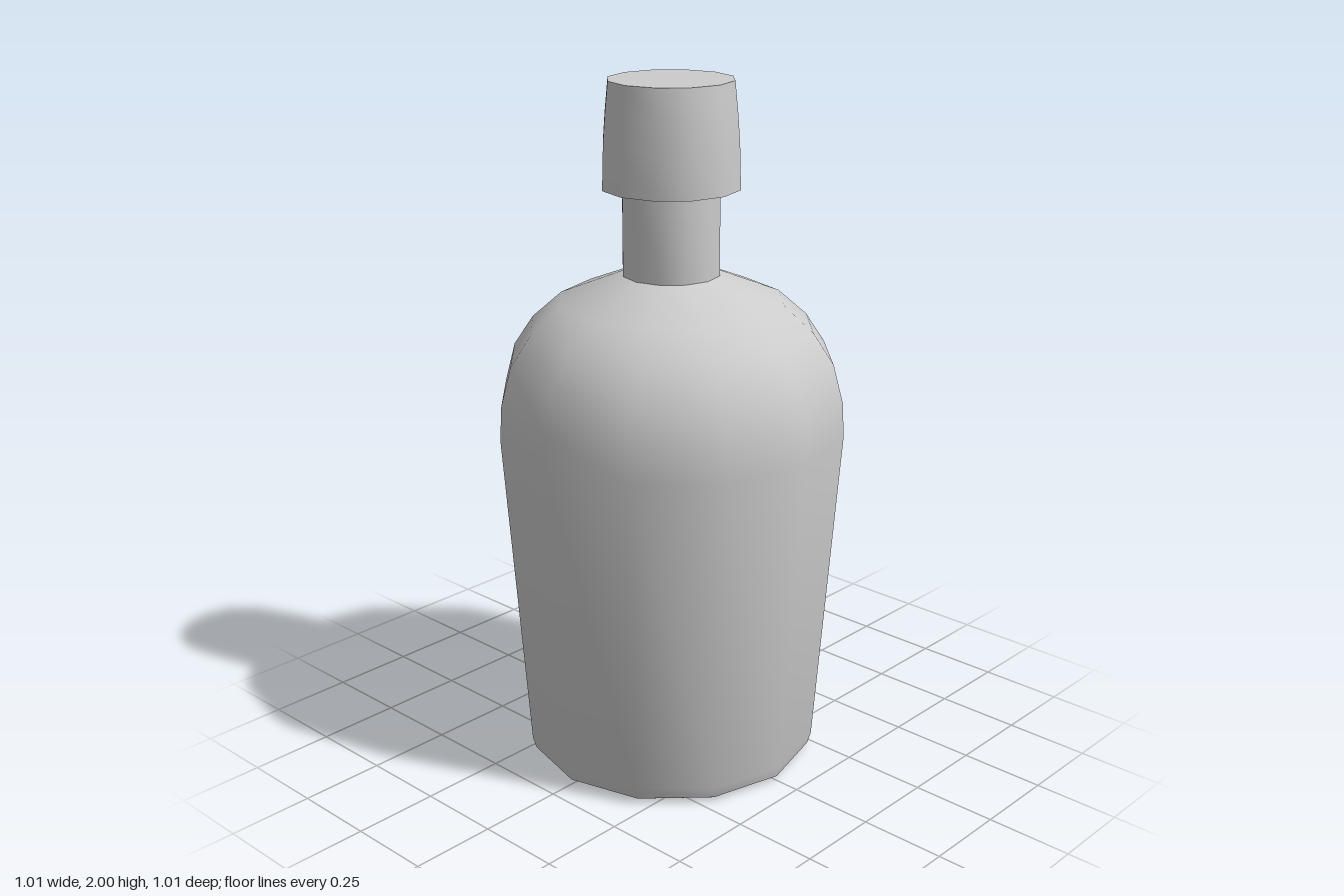
import * as THREE from 'three';
import { toCreasedNormals } from 'three/addons/utils/BufferGeometryUtils.js';

const SIDES = 12;

// Turn a [radius, height] profile (running bottom to top on the outside) around y
function turned(name, profile, { flat = false, crease = 0.66 } = {}) {
  const points = profile.map(([r, y]) => new THREE.Vector2(r, y));
  const lathe = new THREE.LatheGeometry(points, SIDES);
  const geometry = flat ? lathe : toCreasedNormals(lathe, crease);
  const material = new THREE.MeshStandardMaterial({ color: 0xcccccc, flatShading: flat });
  const mesh = new THREE.Mesh(geometry, material);
  mesh.name = name;
  return mesh;
}

export function createModel() {
  const bottle = new THREE.Group();
  bottle.name = 'bottle';

  // Hollow underside, rising to the middle
  bottle.add(turned('hollowBase', [
    [0, 0.16], [0.16, 0.14], [0.3, 0.09], [0.385, 0.005],
  ], { flat: true }));

  // Bevelled foot, tapered wall and rounded shoulder
  bottle.add(turned('body', [
    [0.385, 0.005], [0.4, 0], [0.425, 0.015], [0.435, 0.05],
    [0.503, 1.01], [0.497, 1.11], [0.468, 1.22], [0.41, 1.307],
    [0.323, 1.384], [0.14, 1.458],
  ]));

  // Straight neck
  bottle.add(turned('neck', [[0.14, 1.455], [0.14, 1.72]]));

  // Stopper with flat ends and slightly bowed sides
  bottle.add(turned('stopper', [
    [0, 1.703], [0.197, 1.703], [0.193, 1.83], [0.187, 1.91], [0.178, 2], [0, 2],
  ]));

  return bottle;
}
